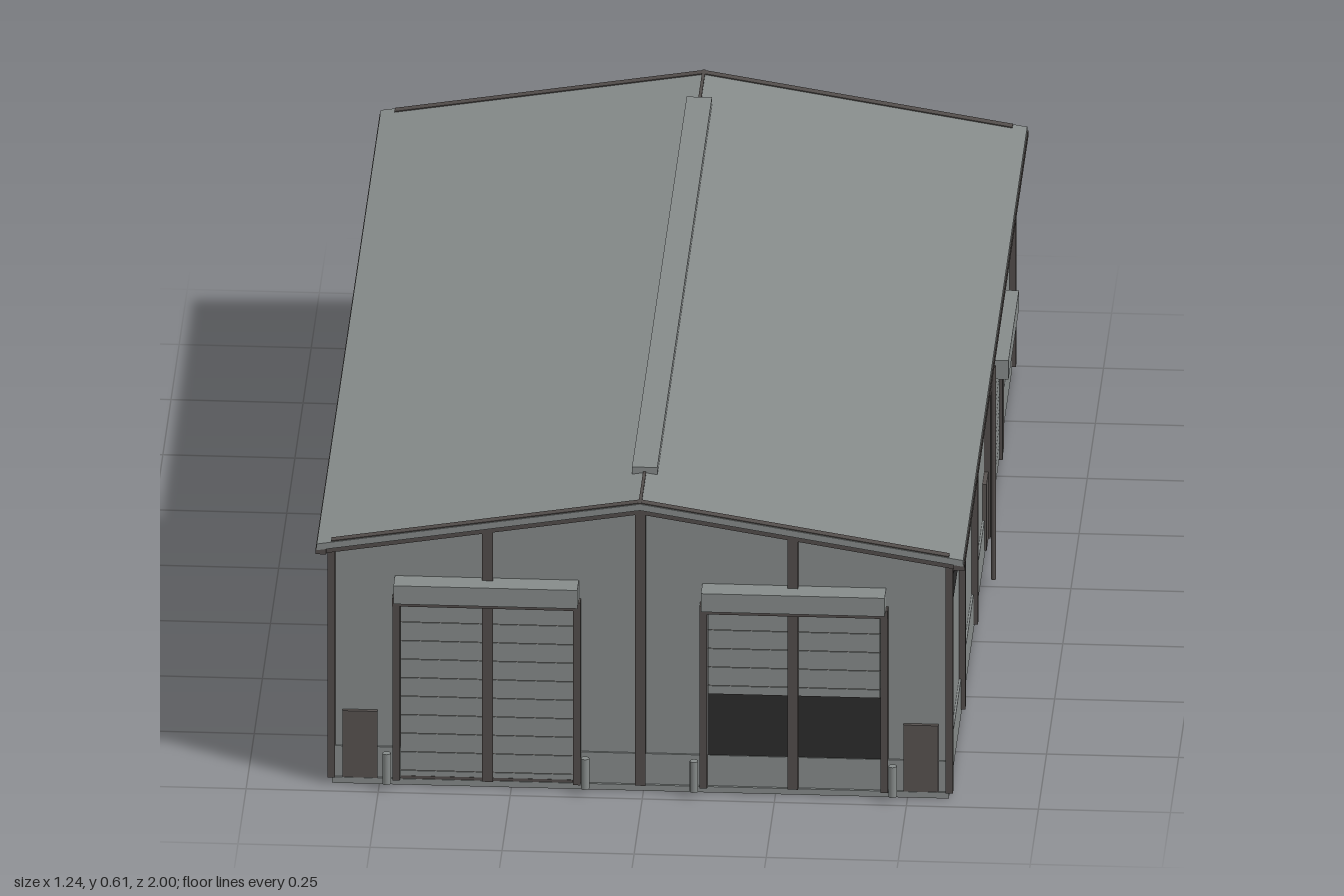
import * as THREE from 'three';

const mat = (name, color) => Object.assign(new THREE.MeshStandardMaterial({ color }), { name });

export function createModel() {
  const cladding = mat('grey cladding', 0x868b8a);
  const steel = mat('dark steel', 0x524d4b);
  const door = mat('door brown', 0x575250);
  const glass = mat('dark glass', 0x2c2c2c);

  const model = new THREE.Group();
  model.name = 'warehouse';
  const hall = new THREE.Group();
  hall.name = 'hall';
  hall.position.set(-0.006, 0, -0.0115);
  model.add(hall);

  const add = (name, geometry, material, x = 0, y = 0, z = 0) => {
    const mesh = new THREE.Mesh(geometry, material);
    mesh.name = name;
    mesh.position.set(x, y, z);
    hall.add(mesh);
    return mesh;
  };
  // Box given by its limits on each axis
  const box = (name, material, x0, x1, y0, y1, z0, z1) =>
    add(name, new THREE.BoxGeometry(x1 - x0, y1 - y0, z1 - z0), material,
      (x0 + x1) / 2, (y0 + y1) / 2, (z0 + z1) / 2);
  // Outline in x and y, drawn out from z0 to z1
  const prism = (name, material, points, z0, z1) => {
    const shape = new THREE.Shape(points.map(([x, y]) => new THREE.Vector2(x, y)));
    return add(name, new THREE.ExtrudeGeometry(shape, { depth: z1 - z0, bevelEnabled: false }),
      material, 0, 0, z0);
  };

  const W = 0.58, L = 0.965;      // half width and half length of the walls
  const RW = 0.612, RL = 0.984;   // half width and half length of the roof
  const roofTop = (x) => 0.6 - 0.163 * Math.abs(x);
  const roofUnder = (x) => roofTop(x) - 0.013;
  // Bent strip that follows both roof slopes
  const chevron = (w, low, high) => [
    [-w, roofTop(w) + low], [0, roofTop(0) + low], [w, roofTop(w) + low],
    [w, roofTop(w) + high], [0, roofTop(0) + high], [-w, roofTop(w) + high],
  ];

  // Floor, walls and plinth
  box('floorSlab', cladding, -0.584, 0.584, 0, 0.012, -0.974, 0.974);
  prism('walls', cladding, [[-W, 0.01], [W, 0.01], [W, roofUnder(W)], [0, roofUnder(0)], [-W, roofUnder(W)]], -L, L);
  box('plinth', cladding, -W - 0.004, W + 0.004, 0.012, 0.075, -L - 0.004, L + 0.004);

  // Roof, gable trims and ridge vent
  prism('roof', cladding, chevron(RW, -0.013, 0), -RL, RL);
  for (const s of [-1, 1]) {
    const zTop = s * 0.974, zUnder = s * 0.972;
    prism('gableCapping', steel, chevron(0.585, 0, 0.002), zTop - 0.008, zTop + 0.008);
    prism('gableTrim', steel, chevron(0.6, -0.023, -0.013), zUnder - 0.008, zUnder + 0.008);
  }
  box('ridgeCap', steel, -0.003, 0.003, 0.597, 0.602, -RL, RL);
  box('ridgeVent', cladding, -0.024, 0.024, 0.596, 0.611, -0.84, 0.84);

  // Gable posts, front and back
  for (const s of [-1, 1]) {
    for (const x of [-0.289, 0, 0.289]) {
      const top = roofUnder(Math.abs(x) + 0.01);
      box('gablePost', steel, x - 0.01, x + 0.01, 0.012, top, s * 0.97 - 0.008, s * 0.97 + 0.008);
    }
  }

  const bays = [-0.967, -0.578, -0.19, 0.201, 0.586, 0.967];
  for (const s of [-1, 1]) {
    // Side posts
    for (const z of bays) {
      box('sidePost', steel, s * 0.585 - 0.007, s * 0.585 + 0.007, 0.012, roofUnder(0.592), z - 0.01, z + 0.01);
    }
    // High windows between the posts
    for (let i = 0; i < 5; i++) {
      const z = (bays[i] + bays[i + 1]) / 2, h = 0.166;
      box('windowFrame', steel, s * 0.582 - 0.003, s * 0.582 + 0.003, 0.361, 0.425, z - h, z + h);
      box('windowPane', glass, s * 0.5835 - 0.003, s * 0.5835 + 0.003, 0.369, 0.417, z - h + 0.006, z + h - 0.006);
    }
    // Gutter and downpipe
    box('gutter', steel, s * 0.604 - 0.01, s * 0.604 + 0.01, 0.479, 0.492, -RL, RL);
    add('downpipe', new THREE.CylinderGeometry(0.005, 0.005, 0.443, 10), steel, s * 0.609, 0.2335, 0.002);
  }

  // Front gates: the second stands half open
  const gates = [{ x: -0.291, bottom: 0.012 }, { x: 0.291, bottom: 0.205 }];
  for (const { x, bottom } of gates) {
    const h = 0.163;
    if (bottom > 0.1) box('gateOpening', glass, x - h, x + h, 0.07, 0.21, L - 0.002, L + 0.002);
    else box('gateSill', steel, x - h, x + h, 0.012, 0.018, L, L + 0.0075);
    for (let y = 0.375; y > bottom + 0.01; y -= 0.0385) {
      const low = Math.max(y - 0.0365, bottom);
      box('gateSlat', cladding, x - h, x + h, low, y, L, L + 0.007);
      box('gateSeam', steel, x - h, x + h, low - 0.002, low, L, L + 0.005);
    }
    for (const s of [-1, 1]) {
      const jx = x + s * 0.171;
      box('gateJamb', steel, jx - 0.007, jx + 0.007, 0.012, 0.375, L, L + 0.018);
      add('bollard', new THREE.CylinderGeometry(0.008, 0.008, 0.063, 12), cladding, x + s * 0.188, 0.0435, 0.9965);
    }
    box('gateHeader', steel, x - 0.178, x + 0.178, 0.375, 0.392, L, L + 0.02);
    box('gateHood', cladding, x - 0.174, x + 0.174, 0.392, 0.43, L, 1.0115);
  }

  // Side shutter with its guides and hood
  const z0 = -0.541, z1 = -0.236;
  for (let i = 0; i < 9; i++) {
    const y = 0.015 + i * 0.034;
    box('shutterSlat', cladding, W, W + 0.007, y + 0.002, y + 0.034, z0, z1);
    box('shutterSeam', steel, W, W + 0.005, y, y + 0.002, z0, z1);
  }
  for (const z of [z0, z1]) {
    box('shutterGuide', steel, W, W + 0.013, 0.012, 0.321, z - 0.005, z + 0.005);
  }
  box('shutterHood', cladding, W, 0.623, 0.321, 0.36, -0.548, -0.229);

  // Personnel doors
  for (const x of [-0.531, 0.531]) {
    box('frontDoor', door, x - 0.033, x + 0.033, 0.012, 0.15, L, L + 0.008);
  }
  box('sideDoor', door, W, W + 0.008, 0.012, 0.15, -0.18, -0.124);

  return model;
}
